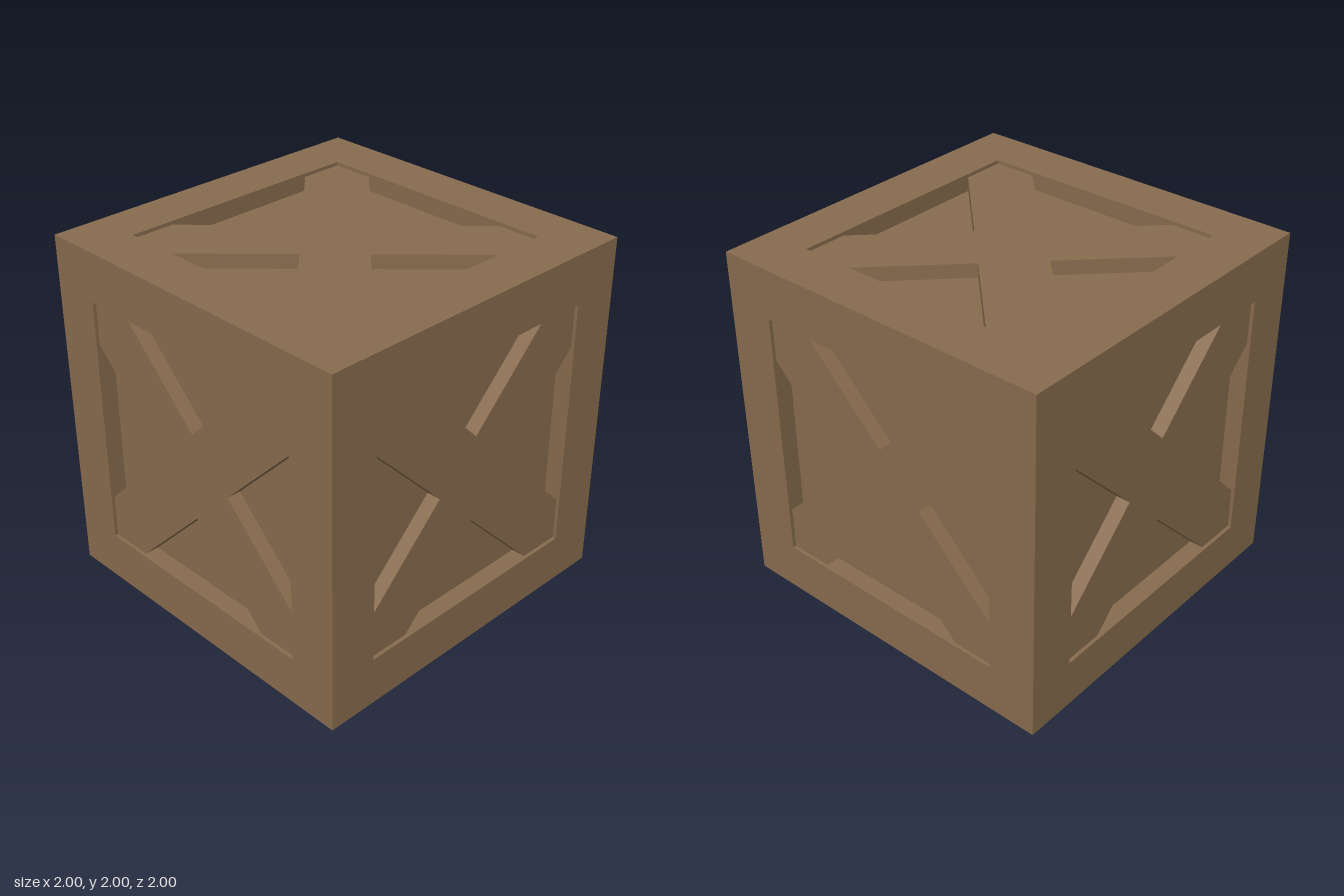
import * as THREE from 'three';

const HALF = 1;          // half the crate's side
const OPEN = 0.72;       // half the opening inside each frame
const PANEL = 0.1;       // panel depth below the frame
const BRACE = 0.02;      // brace depth below the frame
const NOTCH = 0.25;      // inner corner of the cross, from the centre

const square = (s, Type) => new Type([[-s, -s], [s, -s], [s, s], [-s, s]].map(([x, y]) => new THREE.Vector2(x, y)));

// Square frame, mitred at the back so that six of them close into a cube
function frameGeometry() {
  const shape = square(HALF, THREE.Shape);
  shape.holes.push(square(OPEN, THREE.Path));
  const geo = new THREE.ExtrudeGeometry(shape, { depth: PANEL, bevelEnabled: false });
  geo.translate(0, 0, HALF - PANEL);
  const p = geo.attributes.position;
  for (let i = 0; i < p.count; i++) {
    const z = p.getZ(i);
    p.setXY(i, THREE.MathUtils.clamp(p.getX(i), -z, z), THREE.MathUtils.clamp(p.getY(i), -z, z));
  }
  geo.computeVertexNormals();
  return geo;
}

// Diagonal cross whose arms are clipped to the opening
function braceGeometry() {
  const points = [];
  for (let i = 0; i < 4; i++) {
    for (const [x, y] of [[NOTCH, 0], [OPEN, OPEN - NOTCH], [OPEN, OPEN], [OPEN - NOTCH, OPEN]]) {
      points.push(new THREE.Vector2(x, y).rotateAround(new THREE.Vector2(), i * Math.PI / 2));
    }
  }
  const geo = new THREE.ExtrudeGeometry(new THREE.Shape(points), { depth: PANEL - BRACE, bevelEnabled: false });
  geo.translate(0, 0, HALF - PANEL);
  return geo;
}

export function createModel() {
  const wood = new THREE.MeshStandardMaterial({ color: 0x876b4d });
  wood.name = 'brownWood';
  const crate = new THREE.Group();
  crate.name = 'crate';

  // Inner box forms the recessed panels
  const core = new THREE.Mesh(new THREE.BoxGeometry(1, 1, 1), wood);
  core.scale.setScalar(2 * (HALF - PANEL));
  core.position.y = HALF;
  core.name = 'panels';
  crate.add(core);

  // Frame and cross brace on all six sides
  const frameGeo = frameGeometry();
  const braceGeo = braceGeometry();
  const q = Math.PI / 2;
  const sides = { front: [0, 0], left: [0, q], back: [0, 2 * q], right: [0, -q], top: [-q, 0], bottom: [q, 0] };
  for (const [name, [rx, ry]] of Object.entries(sides)) {
    const side = new THREE.Group();
    side.name = name + 'Side';
    const frame = new THREE.Mesh(frameGeo, wood);
    frame.name = name + 'Frame';
    const brace = new THREE.Mesh(braceGeo, wood);
    brace.name = name + 'CrossBrace';
    side.add(frame, brace);
    side.rotation.set(rx, ry, 0);
    side.position.y = HALF;
    crate.add(side);
  }
  return crate;
}
